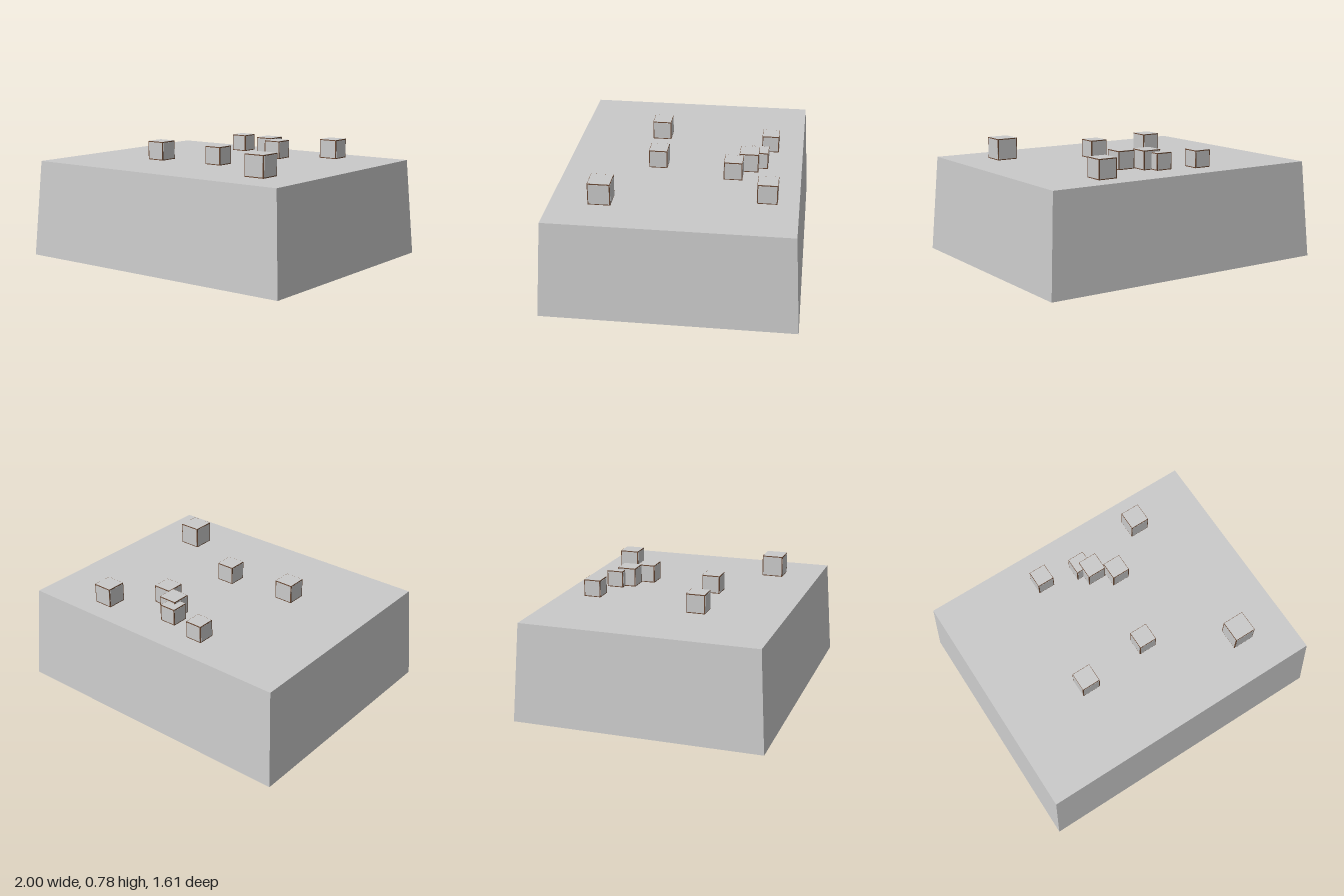
import * as THREE from 'three';

const TOP = 0.64;

// Tapered box with an open underside
function taperedShell() {
  const g = new THREE.BoxGeometry(2, TOP, 1.614);
  g.translate(0, TOP / 2, 0);
  const p = g.attributes.position;
  for (let i = 0; i < p.count; i++) {
    if (p.getY(i) > 0.1) {
      p.setX(i, Math.sign(p.getX(i)) * 0.96);
      p.setZ(i, Math.sign(p.getZ(i)) * 0.768);
    }
  }
  const index = Array.from(g.index.array);
  index.splice(18, 6); // drop the bottom face
  g.setIndex(index);
  g.clearGroups();
  g.computeVertexNormals();
  return g;
}

export function createModel() {
  const model = new THREE.Group();
  model.name = 'blockTopPlatform';

  const stone = new THREE.MeshStandardMaterial({ color: 0xcacaca });
  stone.name = 'stone grey';
  stone.side = THREE.DoubleSide;
  const edgeBrown = new THREE.MeshStandardMaterial({ color: 0x6b4a35 });
  edgeBrown.name = 'edge brown';

  const add = (parent, name, geometry, material) => {
    const mesh = new THREE.Mesh(geometry, material);
    mesh.name = name;
    parent.add(mesh);
    return mesh;
  };

  add(model, 'base', taperedShell(), stone);

  // Small cubes scattered on top: x, z, size
  const blocks = [
    [-0.249, -0.549, 0.113],
    [0.013, -0.492, 0.111],
    [0.065, -0.426, 0.125],
    [0.195, -0.333, 0.12],
    [0.496, -0.57, 0.128],
    [-0.381, 0.206, 0.125],
    [0.076, 0.168, 0.12],
    [0.625, 0.455, 0.142],
  ];
  const plate = 0.002;
  for (const [x, z, size] of blocks) {
    const block = new THREE.Group();
    block.name = 'block';
    block.position.set(x, TOP + 0.001 + size / 2, z);
    model.add(block);

    // Brown core that shows as a thin border round each grey face
    add(block, 'blockCore', new THREE.BoxGeometry(size, size, size), edgeBrown);

    const side = size - 0.012;
    for (let i = 0; i < 4; i++) {
      const a = (i * Math.PI) / 2;
      const face = add(block, 'blockSide', new THREE.BoxGeometry(side, side, plate), stone);
      face.position.set(Math.sin(a) * size / 2, 0, Math.cos(a) * size / 2);
      face.rotation.y = a;
    }
    const top = add(block, 'blockTop', new THREE.BoxGeometry(size - 0.005, plate, size - 0.005), stone);
    top.position.y = size / 2;
  }
  return model;
}
